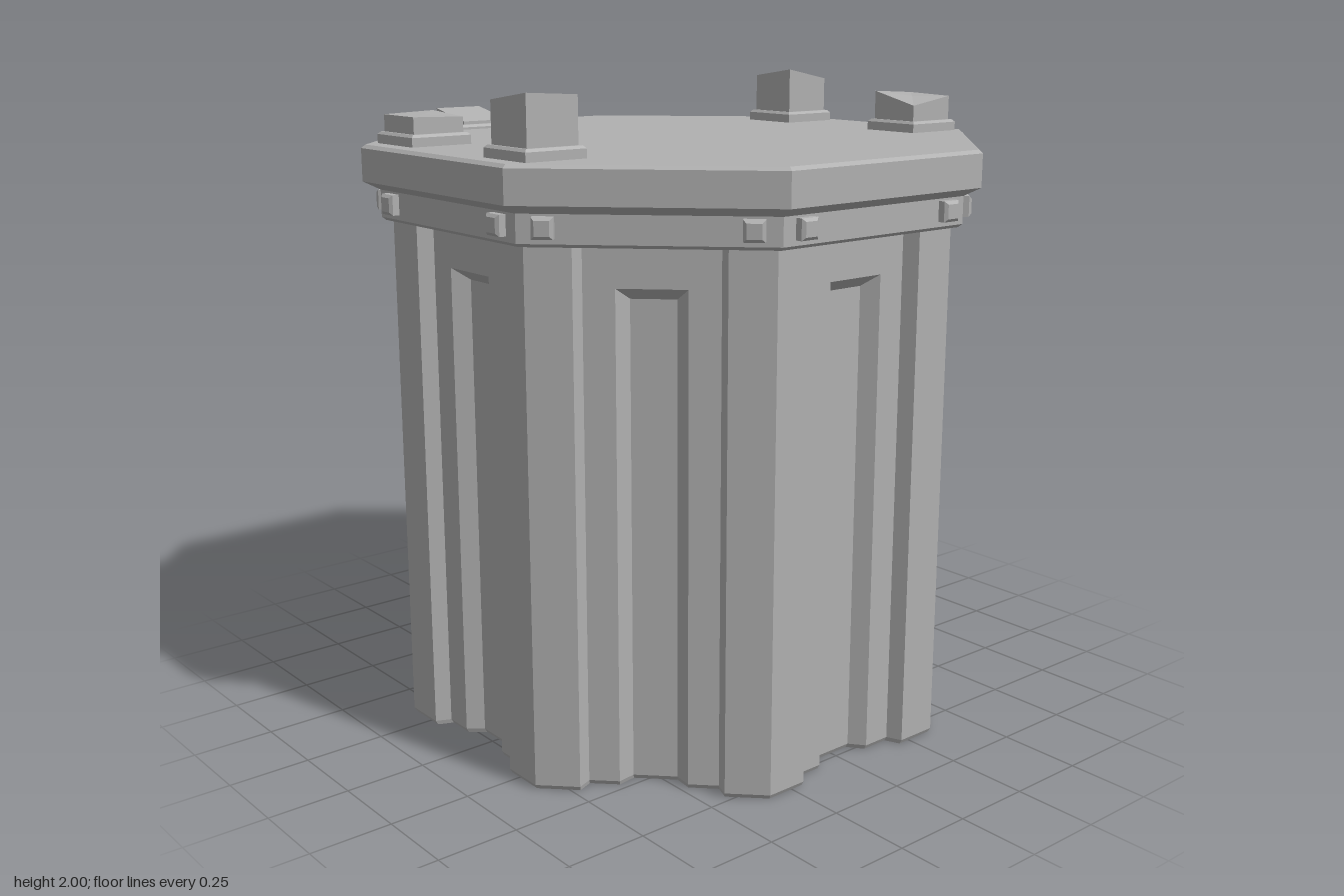
import * as THREE from 'three';

const stone = new THREE.MeshStandardMaterial({ color: 0xb0b0b0 });
stone.name = 'grey stone';

// Closed solid through a stack of equal-length rings, each counterclockwise from above
function loft(rings) {
  const pos = [];
  const tri = (...pts) => pts.forEach((p) => pos.push(...p));
  const n = rings[0].length;
  const middle = (r) => [0, 1, 2].map((k) => r.reduce((s, p) => s + p[k], 0) / n);
  const bottom = rings[0], top = rings[rings.length - 1];
  const lowMid = middle(bottom), highMid = middle(top);
  for (let j = 0; j < n; j++) {
    const k = (j + 1) % n;
    for (let i = 0; i < rings.length - 1; i++) {
      const a = rings[i], b = rings[i + 1];
      tri(a[j], a[k], b[k]);
      tri(a[j], b[k], b[j]);
    }
    tri(lowMid, bottom[k], bottom[j]);
    tri(highMid, top[j], top[k]);
  }
  const g = new THREE.BufferGeometry();
  g.setAttribute('position', new THREE.Float32BufferAttribute(pos, 3));
  g.computeVertexNormals();
  return g;
}

const SIDES = 8;
const HALF = Math.tan(Math.PI / SIDES);

// Ring of an eight-sided outline; profile lists [along, depth] for each side
function sidedRing(y, apothem, profile) {
  const ring = [];
  for (let s = 0; s < SIDES; s++) {
    const t = (s * Math.PI * 2) / SIDES;
    for (const [u, depth] of profile) {
      const r = apothem - depth;
      ring.push([u * Math.cos(t) + r * Math.sin(t), y, r * Math.cos(t) - u * Math.sin(t)]);
    }
  }
  return ring;
}
const octagon = (y, apothem) => sidedRing(y, apothem, [[-apothem * HALF, 0]]);

function squareRing(x, z, half, heights) {
  return [[-1, 1], [1, 1], [1, -1], [-1, -1]].map(([a, b], i) => [x + a * half, heights[i], z + b * half]);
}

function add(parent, name, geometry) {
  const mesh = new THREE.Mesh(geometry, stone);
  mesh.name = name;
  parent.add(mesh);
  return mesh;
}

export function createModel() {
  const model = new THREE.Group();
  model.name = 'brokenColumnBase';

  // Shaft: corner pilasters, recessed panels and a deeper flute ending below the band
  const R = 0.825, PANEL = 0.045, FLUTE = 0.09;
  const shaftRing = (y, fluteHalf, fluteDepth, r = R) => sidedRing(y, r, [
    [-r * HALF, 0], [-0.21, 0], [-0.19, PANEL], [-0.1, PANEL], [-fluteHalf, fluteDepth],
    [fluteHalf, fluteDepth], [0.1, PANEL], [0.19, PANEL], [0.21, 0],
  ]);
  add(model, 'shaft', loft([
    shaftRing(0, 0.065, FLUTE, R - 0.008),
    shaftRing(0.014, 0.065, FLUTE),
    shaftRing(1.44, 0.065, FLUTE),
    shaftRing(1.475, 0.0999, PANEL),
    shaftRing(1.61, 0.0999, PANEL),
  ]));

  // Band and overhanging slab
  add(model, 'band', loft([octagon(1.595, 0.845), octagon(1.605, 0.857), octagon(1.7, 0.857)]));
  add(model, 'slab', loft([
    octagon(1.685, 0.855), octagon(1.712, 0.905), octagon(1.81, 0.905), octagon(1.82, 0.893),
  ]));

  // Two chamfered studs on each side of the band
  const studs = new THREE.Group();
  studs.name = 'bandStuds';
  model.add(studs);
  const studRing = (y, half) => squareRing(0, 0, half, [y, y, y, y]);
  const studShape = loft([studRing(0, 0.03), studRing(0.022, 0.03), studRing(0.03, 0.021)]);
  studShape.rotateX(Math.PI / 2);
  for (let s = 0; s < SIDES; s++) {
    const side = new THREE.Group();
    side.name = 'studPair';
    side.rotation.y = (s * Math.PI * 2) / SIDES;
    for (const u of [-0.28, 0.28]) add(side, 'stud', studShape).position.set(u, 1.65, 0.856);
    studs.add(side);
  }

  // Broken posts: x, z, plinth top, then corner heights (front left-hand, front right-hand, back)
  const posts = [
    [-0.29, -0.755, 1.855, [1.975, 2.0, 1.965, 1.95]],
    [0.285, -0.755, 1.855, [1.945, 1.905, 1.93, 1.935]],
    [-0.29, 0.74, 1.855, [1.905, 1.905, 1.9, 1.91]],
    [0.285, 0.74, 1.855, [1.975, 2.0, 1.99, 1.965]],
    [-0.75, 0.28, 1.835, [1.88, 1.845, 1.845, 1.88]],
  ];
  for (const [x, z, plinthTop, heights] of posts) {
    const post = new THREE.Group();
    post.name = 'brokenPost';
    const flat = (y, half) => squareRing(x, z, half, [y, y, y, y]);
    add(post, 'plinth', loft([flat(1.81, 0.1), flat(plinthTop - 0.008, 0.1), flat(plinthTop, 0.092)]));
    add(post, 'stump', loft([flat(1.815, 0.084), squareRing(x, z, 0.084, heights)]));
    model.add(post);
  }

  return model;
}
